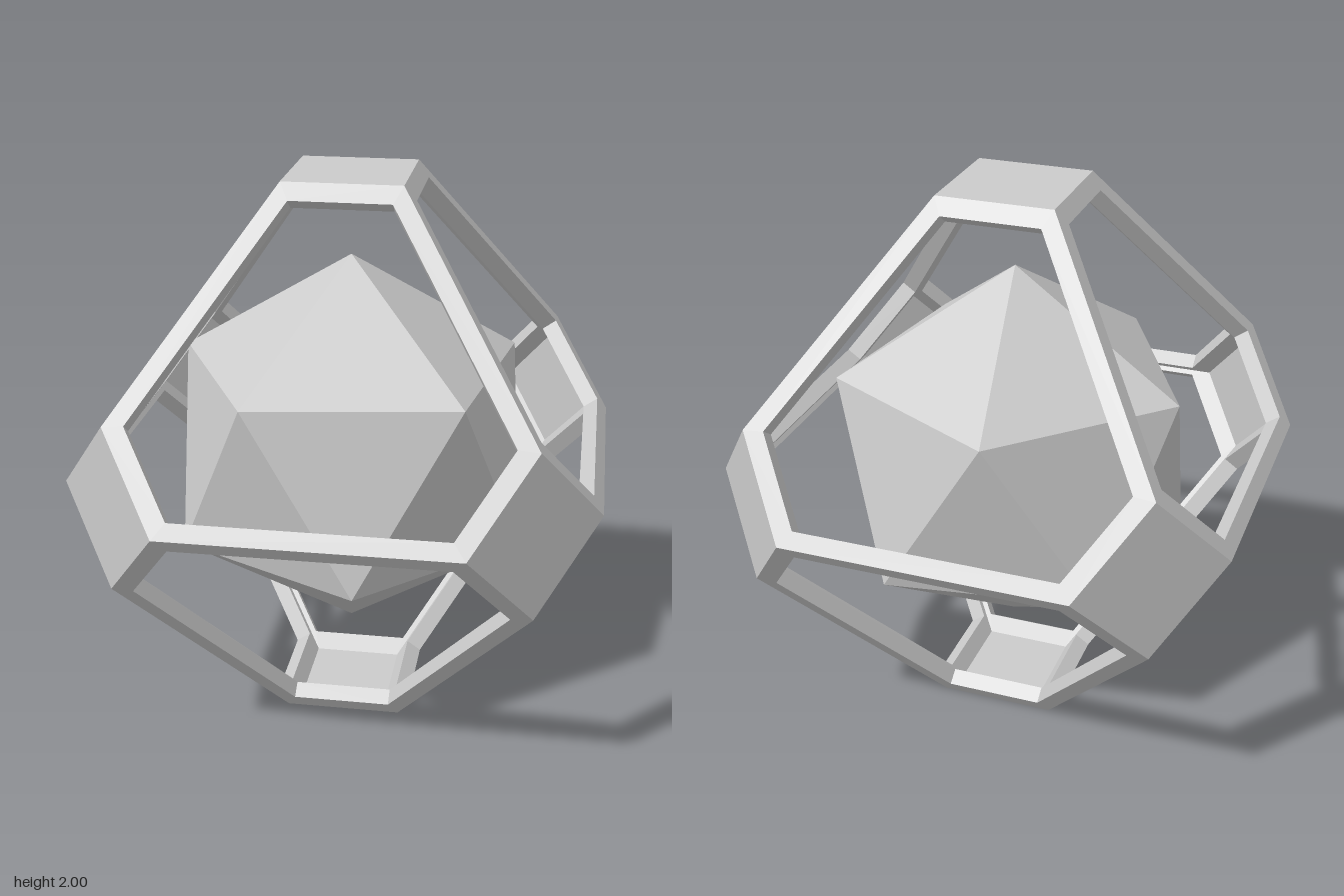
import * as THREE from 'three';
import { ConvexGeometry } from 'three/addons/geometries/ConvexGeometry.js';

const CORNER = 0.293; // half diagonal of each square plate
const BAR = 0.05;     // offset of the openings from the bar centre line
const DEPTH = 0.035;  // inward shift of the shell along each axis

// Six corners of a hexagon in the +x +y +z octant, counter-clockwise from outside
const hexagon = (a, b, c) => [
  [a, b, c], [b, a, c], [c, a, b], [c, b, a], [b, c, a], [a, c, b],
];

// Flat-shaded geometry from a list of triangle corner points
function fromPoints(points) {
  const geometry = new THREE.BufferGeometry();
  geometry.setAttribute('position', new THREE.Float32BufferAttribute(points.flat(), 3));
  geometry.computeVertexNormals();
  return geometry;
}

// One open hexagonal side: outer rim, walls of the opening, inner rim
function hexFrameGeometry(sx, sy, sz) {
  const top = 1 - BAR - 0.005;
  const sum = 1 + CORNER;
  const rings = [
    hexagon(1, CORNER, 0),
    hexagon(top, sum - top - BAR, BAR),
    hexagon(top - DEPTH, sum - top - BAR - DEPTH, BAR - DEPTH),
    hexagon(1 - DEPTH, CORNER - 2 * DEPTH, 0),
  ].map(ring => ring.map(([x, y, z]) => [x * sx, y * sy, z * sz]));
  const mirrored = sx * sy * sz < 0;
  const points = [];
  for (let r = 0; r < 3; r++) {
    for (let i = 0; i < 6; i++) {
      const j = (i + 1) % 6;
      const [a, b, c, d] = [rings[r][i], rings[r][j], rings[r + 1][j], rings[r + 1][i]];
      points.push(...(mirrored ? [a, c, b, a, d, c] : [a, b, c, a, c, d]));
    }
  }
  return fromPoints(points);
}

// Square plate facing +z, with its outer and inner face
function plateGeometry() {
  const square = (r, z) => [[r, 0, z], [0, r, z], [-r, 0, z], [0, -r, z]];
  const [a, b, c, d] = square(CORNER, 1);
  const [e, f, g, h] = square(CORNER - 2 * DEPTH, 1 - DEPTH);
  return fromPoints([a, b, c, a, c, d, e, g, f, e, h, g]);
}

// Twenty-sided core standing on a vertex
function coreGeometry(radius) {
  const points = [new THREE.Vector3(0, radius, 0), new THREE.Vector3(0, -radius, 0)];
  const h = radius / Math.sqrt(5);
  for (let i = 0; i < 10; i++) {
    const angle = i * Math.PI / 5;
    points.push(new THREE.Vector3(
      2 * h * Math.cos(angle), i % 2 ? -h : h, 2 * h * Math.sin(angle)));
  }
  return new ConvexGeometry(points);
}

export function createModel() {
  const model = new THREE.Group();
  model.name = 'cagedPolyhedron';
  const material = new THREE.MeshStandardMaterial({ color: 0xcccccc, flatShading: true });

  const add = (parent, geometry, name) => {
    const mesh = new THREE.Mesh(geometry, material);
    mesh.name = name;
    mesh.position.y = 1;
    parent.add(mesh);
    return mesh;
  };

  // Cage: eight hexagonal frames and six square plates
  const cage = new THREE.Group();
  cage.name = 'cage';
  model.add(cage);
  for (const sx of [1, -1])
    for (const sy of [1, -1])
      for (const sz of [1, -1])
        add(cage, hexFrameGeometry(sx, sy, sz), 'hexagonalFrame');

  const plate = plateGeometry();
  for (let i = 0; i < 4; i++)
    add(cage, plate, 'sidePlate').rotation.y = i * Math.PI / 2;
  add(cage, plate, 'topPlate').rotation.x = -Math.PI / 2;
  add(cage, plate, 'bottomPlate').rotation.x = Math.PI / 2;

  // Core floating in the middle
  add(model, coreGeometry(Math.SQRT1_2), 'core');
  return model;
}
